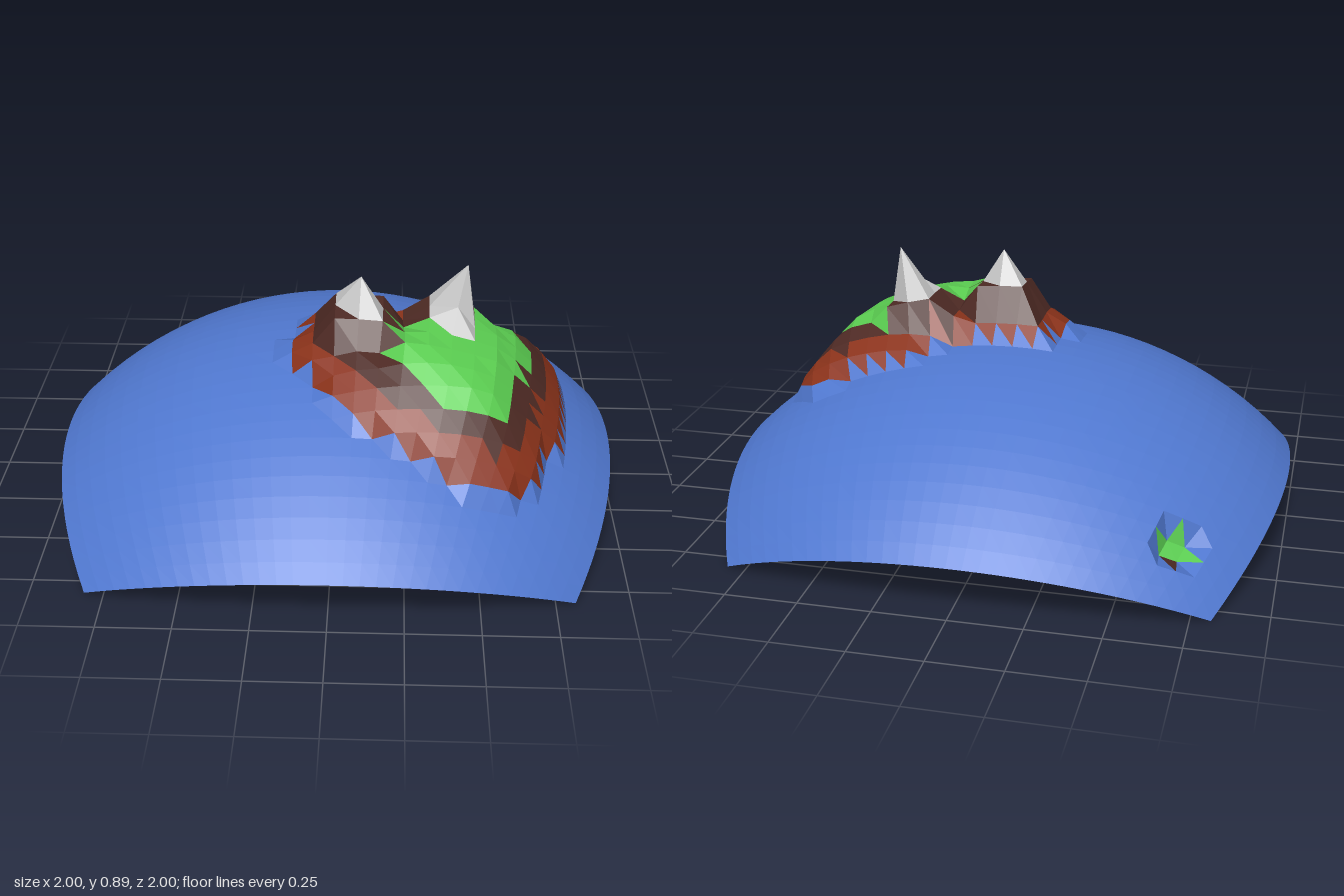
import * as THREE from 'three';

const R = Math.SQRT2;          // planet radius
const N = 15;                  // half the number of grid cells per side
const BASE = -R / Math.sqrt(3); // puts the patch corners on y = 0

// Coastline of the main island, seen from above (x, z)
const COAST = [
  [-0.07, -0.04], [0.05, -0.05], [0.18, 0.0], [0.3, -0.12], [0.42, -0.17], [0.55, -0.2],
  [0.74, -0.2], [0.8, -0.08], [0.81, 0.1], [0.79, 0.25], [0.74, 0.4], [0.7, 0.54],
  [0.59, 0.65], [0.42, 0.68], [0.28, 0.64], [0.1, 0.54], [0, 0.44], [-0.07, 0.34],
  [-0.15, 0.26], [-0.15, 0.14], [-0.1, 0.05],
];

// Mountain tops on grid points: column, row, height, drop per cell
const PEAKS = [
  [1, 2, 0.294, 0.118],
  [5, 1, 0.355, 0.19],
  [5, 2, 0.23, 0.07],
];

const COLORS = {
  ocean: 0x5078d0, shore: 0x8a321a, rock: 0x4e2a24, grass: 0x5acc50, snow: 0xcccccc,
};

// Distance to the coast, positive on land
function inland(x, z) {
  let best = Infinity, inside = false;
  COAST.forEach(([ax, az], k) => {
    const [bx, bz] = COAST[(k + 1) % COAST.length];
    const dx = bx - ax, dz = bz - az;
    const t = THREE.MathUtils.clamp(((x - ax) * dx + (z - az) * dz) / (dx * dx + dz * dz), 0, 1);
    best = Math.min(best, Math.hypot(x - ax - t * dx, z - az - t * dz));
    if ((az > z) !== (bz > z) && x < ax + ((z - az) / dz) * dx) inside = !inside;
  });
  return inside ? best : -best;
}

// Terrain height above the sphere at a grid point
function height(i, j, x, z) {
  if ((i === -11 || i === -12) && (j === -11 || j === -12)) return -0.06; // small crater
  const d = inland(x, z);
  if (d <= 0) return 0;
  let h = Math.min(0.035 + 0.48 * d, x < 0.15 ? 0.1 : 0.165);
  for (const [pi, pj, top, drop] of PEAKS) {
    const cells = Math.max(Math.abs(i - pi), Math.abs(j - pj));
    h = Math.max(h, top - drop * cells);
  }
  return h;
}

// Grid point of the cube-sphere patch with its height
function gridPoint(i, j) {
  const step = Math.PI / 4 / N;
  const p = new THREE.Vector3(Math.tan(i * step), 1, Math.tan(j * step)).setLength(R);
  const h = height(i, j, p.x, p.z);
  p.setLength(R + h);
  p.y += BASE;
  return { p, h };
}

// Kind of ground for a triangle
function ground(tri) {
  const mean = (f) => (f(tri[0]) + f(tri[1]) + f(tri[2])) / 3;
  const h = mean((v) => v.h), x = mean((v) => v.p.x), z = mean((v) => v.p.z);
  if (h < -0.025) return z > -0.69 ? 'grass' : 'rock';
  if (h < 0.027) return 'ocean';
  if (h < 0.085) return 'shore';
  if (h > 0.18) return 'snow';
  const meadow = x > 0.2 && (z > 0.17 || x > 0.5);
  return meadow && h > 0.122 ? 'grass' : 'rock';
}

export function createModel() {
  const model = new THREE.Group();
  model.name = 'planetPatch';

  const points = [];
  for (let j = -N; j <= N; j++) {
    for (let i = -N; i <= N; i++) points.push(gridPoint(i, j));
  }

  // Sort the triangles of every cell by ground
  const faces = { ocean: [], shore: [], rock: [], grass: [], snow: [] };
  const row = 2 * N + 1;
  for (let j = 0; j < 2 * N; j++) {
    for (let i = 0; i < 2 * N; i++) {
      const a = points[j * row + i], b = points[j * row + i + 1];
      const c = points[(j + 1) * row + i], d = points[(j + 1) * row + i + 1];
      for (const tri of [[a, c, d], [a, d, b]]) {
        const list = faces[ground(tri)];
        tri.forEach(({ p }) => list.push(p.x, p.y, p.z));
      }
    }
  }

  // One faceted mesh per ground
  for (const [name, list] of Object.entries(faces)) {
    const geometry = new THREE.BufferGeometry();
    geometry.setAttribute('position', new THREE.Float32BufferAttribute(list, 3));
    geometry.computeVertexNormals();
    const mesh = new THREE.Mesh(geometry, new THREE.MeshStandardMaterial({
      color: COLORS[name], flatShading: true, side: THREE.DoubleSide,
    }));
    mesh.name = name;
    model.add(mesh);
  }
  return model;
}
